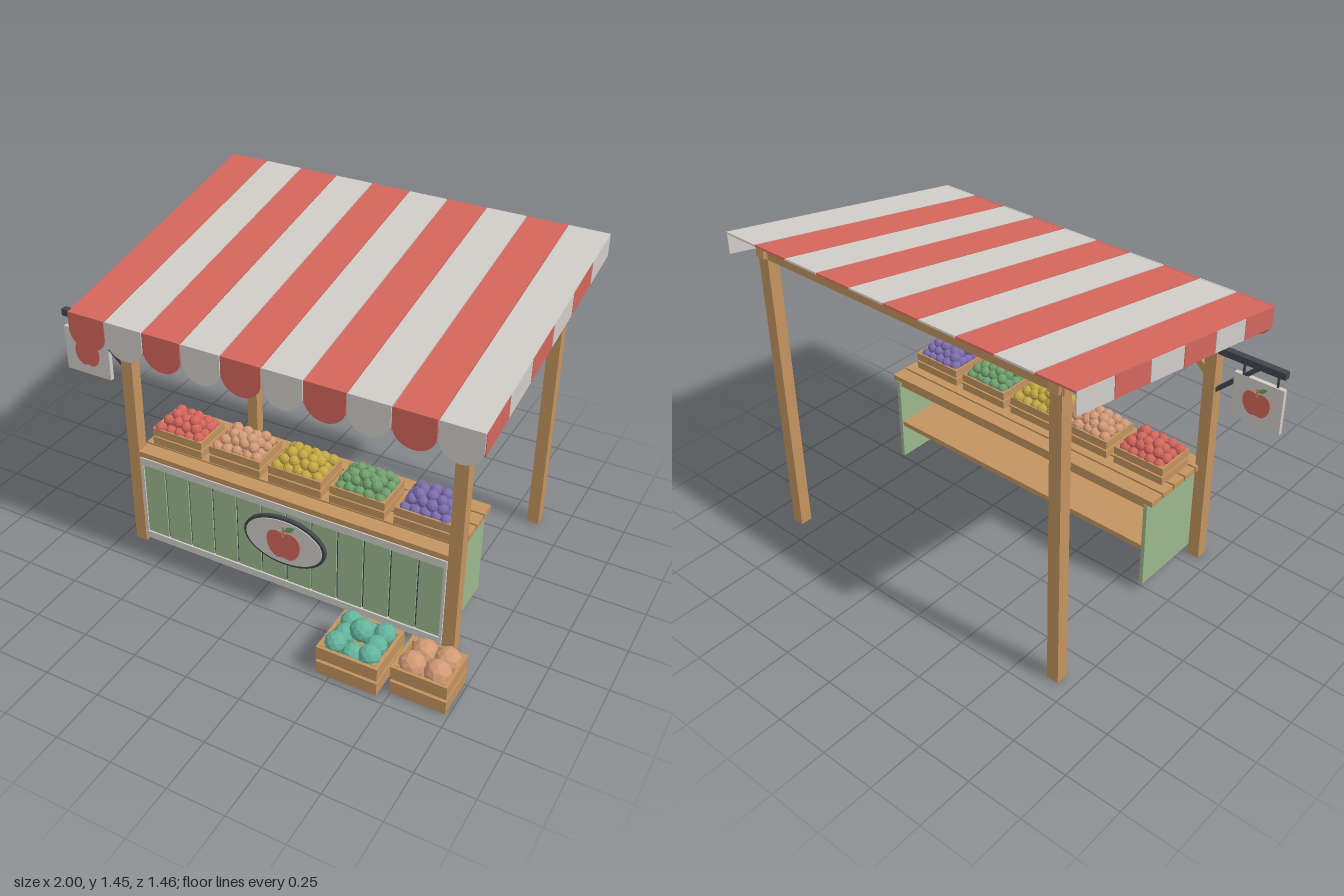
import * as THREE from 'three';

const mat = (name, color) => {
  const m = new THREE.MeshStandardMaterial({ color });
  m.name = name;
  return m;
};

export function createModel() {
  const wood = mat('wood', 0xc2945f), red = mat('red', 0xd3665c), white = mat('offWhite', 0xd0ccc8);
  const sage = mat('sagePaint', 0x9bb78d), iron = mat('darkIron', 0x42454d), peach = mat('peach', 0xd39a76);
  const yellow = mat('yellow', 0xc4a844), green = mat('leafGreen', 0x6f9f6c);
  const purple = mat('purple', 0x7e6eae), teal = mat('teal', 0x64b59e);

  const root = new THREE.Group();
  root.name = 'marketStall';
  let seed = 7;
  const rand = () => (seed = (seed * 16807) % 2147483647) / 2147483647 - 0.5;

  const add = (parent, name, geo, m, x = 0, y = 0, z = 0) => {
    const mesh = new THREE.Mesh(geo, m);
    mesh.name = name;
    mesh.position.set(x, y, z);
    parent.add(mesh);
    return mesh;
  };
  // box given by its min and max on each axis
  const box = (parent, name, m, x0, x1, y0, y1, z0, z1) =>
    add(parent, name, new THREE.BoxGeometry(x1 - x0, y1 - y0, z1 - z0), m, (x0 + x1) / 2, (y0 + y1) / 2, (z0 + z1) / 2);
  // square bar between two points
  const bar = (parent, name, m, a, b, t) => {
    const p = new THREE.Vector3(...a), q = new THREE.Vector3(...b);
    const mesh = add(parent, name, new THREE.BoxGeometry(t, t, p.distanceTo(q)), m);
    mesh.position.copy(p).add(q).multiplyScalar(0.5);
    mesh.lookAt(q);
    return mesh;
  };
  const plate = (shape, depth) =>
    new THREE.ExtrudeGeometry(shape, { depth, bevelEnabled: false, curveSegments: 16 });
  const group = (name, x = 0, y = 0, z = 0, parent = root) => {
    const g = new THREE.Group();
    g.name = name;
    g.position.set(x, y, z);
    parent.add(g);
    return g;
  };

  // ---- timber frame
  const frame = group('frame');
  const postX = [-0.665, 0.855], zF = 0.338, zB = -0.643, t = 0.055;
  for (const x of postX) {
    box(frame, 'frontPost', wood, x - t / 2, x + t / 2, 0, 1.235, zF - t / 2, zF + t / 2);
    box(frame, 'backPost', wood, x - t / 2, x + t / 2, 0, 1.405, zB - t / 2, zB + t / 2);
    bar(frame, 'sideBeam', wood, [x, 1.215, zF + 0.03], [x, 1.392, zB - 0.04], 0.048);
    const s = x < 0 ? 1 : -1;
    bar(frame, 'brace', wood, [x + s * 0.015, 0.945, zF], [x + s * 0.28, 1.2, zF], 0.032);
  }
  box(frame, 'frontBeam', wood, -0.7, 0.89, 1.19, 1.24, zF - 0.025, zF + 0.025);
  box(frame, 'backBeam', wood, -0.7, 0.89, 1.36, 1.41, zB - 0.025, zB + 0.025);

  // ---- striped canopy with scalloped front and side flaps
  const canopy = group('canopy');
  const z0 = 0.535, z1 = -0.73, y0 = 1.225, y1 = 1.455;
  const slope = (y1 - y0) / (z0 - z1), yAt = z => y0 + (z0 - z) * slope;
  const w = 0.176;
  for (let i = 0; i < 10; i++) {
    const m = i % 2 ? white : red, x = -0.71 + i * 0.18;
    const strip = add(canopy, 'canopyStripe', new THREE.BoxGeometry(w, 0.008, Math.hypot(z0 - z1, y1 - y0)), m,
      x, (y0 + y1) / 2 - 0.005, (z0 + z1) / 2);
    strip.rotation.x = Math.atan(slope);
    const s = new THREE.Shape();
    s.moveTo(w / 2, y0);
    s.lineTo(-w / 2, y0);
    s.lineTo(-w / 2, 1.15);
    s.absellipse(0, 1.15, w / 2, 0.082, Math.PI, Math.PI * 2, false);
    s.closePath();
    add(canopy, 'scallop', plate(s, 0.006), m, x, 0, z0);
  }
  const step = (z0 - z1) / 6;
  for (const x of [-0.8, 0.994]) for (let i = 0; i < 6; i++) {
    const a = z0 - i * step - 0.002, b = z0 - (i + 1) * step + 0.002;
    const s = new THREE.Shape([[-a, yAt(a) - 0.1], [-b, yAt(b) - 0.1], [-b, yAt(b) - 0.003], [-a, yAt(a) - 0.003]]
      .map(p => new THREE.Vector2(...p)));
    add(canopy, 'sideFlap', plate(s, 0.006).rotateY(Math.PI / 2), i % 2 ? white : red, x);
  }

  // ---- painted apple emblem, one unit wide
  const apple = (parent, size, x, y, z, turn) => {
    const g = group('appleEmblem', x, y, z, parent);
    g.rotation.y = turn;
    const s = new THREE.Shape();
    s.moveTo(0, 0.33);
    s.bezierCurveTo(0.15, 0.46, 0.5, 0.42, 0.5, 0.06);
    s.bezierCurveTo(0.5, -0.25, 0.3, -0.5, 0.12, -0.46);
    s.quadraticCurveTo(0, -0.41, -0.12, -0.46);
    s.bezierCurveTo(-0.3, -0.5, -0.5, -0.25, -0.5, 0.06);
    s.bezierCurveTo(-0.5, 0.42, -0.15, 0.46, 0, 0.33);
    const stem = new THREE.Shape([[-0.03, 0.25], [0.03, 0.25], [0.05, 0.6], [-0.02, 0.6]].map(p => new THREE.Vector2(...p)));
    const leaf = new THREE.Shape();
    leaf.moveTo(0.03, 0.45);
    leaf.quadraticCurveTo(0.1, 0.68, 0.36, 0.66);
    leaf.quadraticCurveTo(0.27, 0.43, 0.03, 0.45);
    const flat = (name, sh, m, d) => add(g, name, plate(sh, d).scale(size, size, 1), m);
    flat('appleBody', s, red, 0.004);
    flat('appleStem', stem, wood, 0.006);
    flat('appleLeaf', leaf, green, 0.005);
  };

  // ---- counter
  const counter = group('counter');
  const cx0 = -0.63, cx1 = 0.825;
  box(counter, 'frontPanel', sage, cx0, cx1, 0.035, 0.465, 0.335, 0.352);
  for (let i = 0; i < 12; i++) {
    const pw = (cx1 - cx0) / 12, x = cx0 + i * pw;
    box(counter, 'frontPlank', sage, x + 0.004, x + pw - 0.004, 0.045, 0.46, 0.352, 0.362);
    if (i) box(counter, 'plankGap', iron, x - 0.004, x + 0.004, 0.06, 0.44, 0.352, 0.355);
  }
  box(counter, 'topTrim', white, cx0, cx1, 0.43, 0.466, 0.35, 0.37);
  box(counter, 'bottomTrim', white, cx0, cx1, 0.03, 0.064, 0.35, 0.37);
  for (const x of [cx0, cx1 - 0.012]) {
    box(counter, 'sideTrim', white, x, x + 0.012, 0.064, 0.43, 0.35, 0.368);
  }
  for (const x of [cx0, cx1 - 0.018]) box(counter, 'sidePanel', sage, x, x + 0.018, 0.04, 0.466, -0.025, 0.345);
  box(counter, 'shelf', wood, cx0 + 0.016, cx1 - 0.016, 0.215, 0.24, -0.018, 0.336);
  box(counter, 'topRail', wood, cx0 + 0.016, cx1 - 0.016, 0.44, 0.466, -0.015, 0.005);
  for (let i = 0; i < 5; i++) {
    const z = -0.022 + i * 0.079;
    box(counter, 'topSlat', wood, -0.652, 0.848, 0.466, 0.492, z, z + 0.07);
  }
  const disc = (name, rx, ry, d, m, z) => {
    const s = new THREE.Shape().absellipse(0, 0, rx, ry, 0, Math.PI * 2, false);
    add(counter, name, plate(s, d), m, 0.097, 0.287, z);
  };
  disc('ovalRim', 0.196, 0.122, 0.018, iron, 0.362);
  disc('ovalBoard', 0.183, 0.11, 0.022, white, 0.362);
  apple(counter, 0.16, 0.097, 0.278, 0.384, 0);

  // ---- slatted crate standing on y = 0 of its group
  const crate = (name, x, y, z, cw, cd, ch) => {
    const g = group(name, x, y, z);
    const k = ch * 0.1, hw = cw / 2, hd = cd / 2;
    box(g, 'crateBase', wood, -hw + k, hw - k, 0.002, 0.012, -hd + k, hd - k);
    for (const sx of [-1, 1]) for (const sz of [-1, 1]) {
      add(g, 'cratePost', new THREE.BoxGeometry(k * 1.4, ch, k * 1.4), wood, sx * (hw - k * 1.6), ch / 2, sz * (hd - k * 1.6));
    }
    for (const yy of [0.24, 0.77]) for (const s of [-1, 1]) {
      const sh = ch * 0.43;
      add(g, 'crateSlat', new THREE.BoxGeometry(cw, sh, k), wood, 0, yy * ch, s * (hd - k / 2));
      add(g, 'crateSlat', new THREE.BoxGeometry(k, sh, cd - k * 2), wood, s * (hw - k / 2), yy * ch, 0);
    }
    return g;
  };
  const fruit = (g, m, r, x, y, z) => {
    const geo = new THREE.IcosahedronGeometry(r, 1);
    geo.computeVertexNormals();
    const f = add(g, 'fruit', geo, m, x, y, z);
    f.rotation.set(rand() * 6, rand() * 6, rand() * 6);
  };

  // ---- counter crates heaped with fruit
  [red, peach, yellow, green, purple].forEach((m, i) => {
    const g = crate('counterCrate', -0.49 + i * 0.2915, 0.492, 0.19, 0.25, 0.19, 0.086);
    [[5, 4, 0.082], [4, 3, 0.112], [3, 2, 0.132]].forEach(([nx, nz, y]) => {
      for (let a = 0; a < nx; a++) for (let b = 0; b < nz; b++) {
        fruit(g, m, 0.025 + rand() * 0.004, (a - (nx - 1) / 2) * 0.046 + rand() * 0.012, y + rand() * 0.012,
          (b - (nz - 1) / 2) * 0.044 + rand() * 0.01);
      }
    });
    box(g, 'fruitBed', m, -0.108, 0.108, 0.02, 0.07, -0.078, 0.078);
  });

  // ---- floor crates with large fruit
  const big = crate('melonCrate', 0.575, 0, 0.602, 0.27, 0.25, 0.142);
  for (const x of [-0.075, 0, 0.075]) for (const z of [-0.068, 0.068]) fruit(big, teal, 0.047, x, x ? 0.145 : 0.12, z);
  for (const x of [-0.07, 0.07]) fruit(big, teal, 0.046, x, 0.135, 0);
  fruit(big, teal, 0.05, 0.005, 0.19, 0.0);
  const small = crate('peachCrate', 0.866, 0, 0.582, 0.24, 0.205, 0.142);
  for (const [x, z] of [[-0.055, 0.04], [0.052, 0.035], [-0.04, -0.045], [0.058, -0.048]]) {
    fruit(small, peach, 0.057, x, 0.132, z);
  }

  // ---- hanging sign on its bracket
  const sign = group('hangingSign');
  box(sign, 'signArm', iron, -1, -0.69, 1.062, 1.092, 0.317, 0.347);
  bar(sign, 'signBrace', iron, [-0.88, 1.065, 0.332], [-0.69, 0.885, 0.332], 0.018);
  for (const x of [-0.965, -0.81]) box(sign, 'signHanger', iron, x - 0.004, x + 0.004, 1.0, 1.065, 0.328, 0.336);
  box(sign, 'signBoard', white, -1, -0.772, 0.802, 1.01, 0.322, 0.342);
  apple(sign, 0.125, -0.885, 0.905, 0.342, 0);
  apple(sign, 0.125, -0.885, 0.905, 0.322, Math.PI);

  return root;
}
